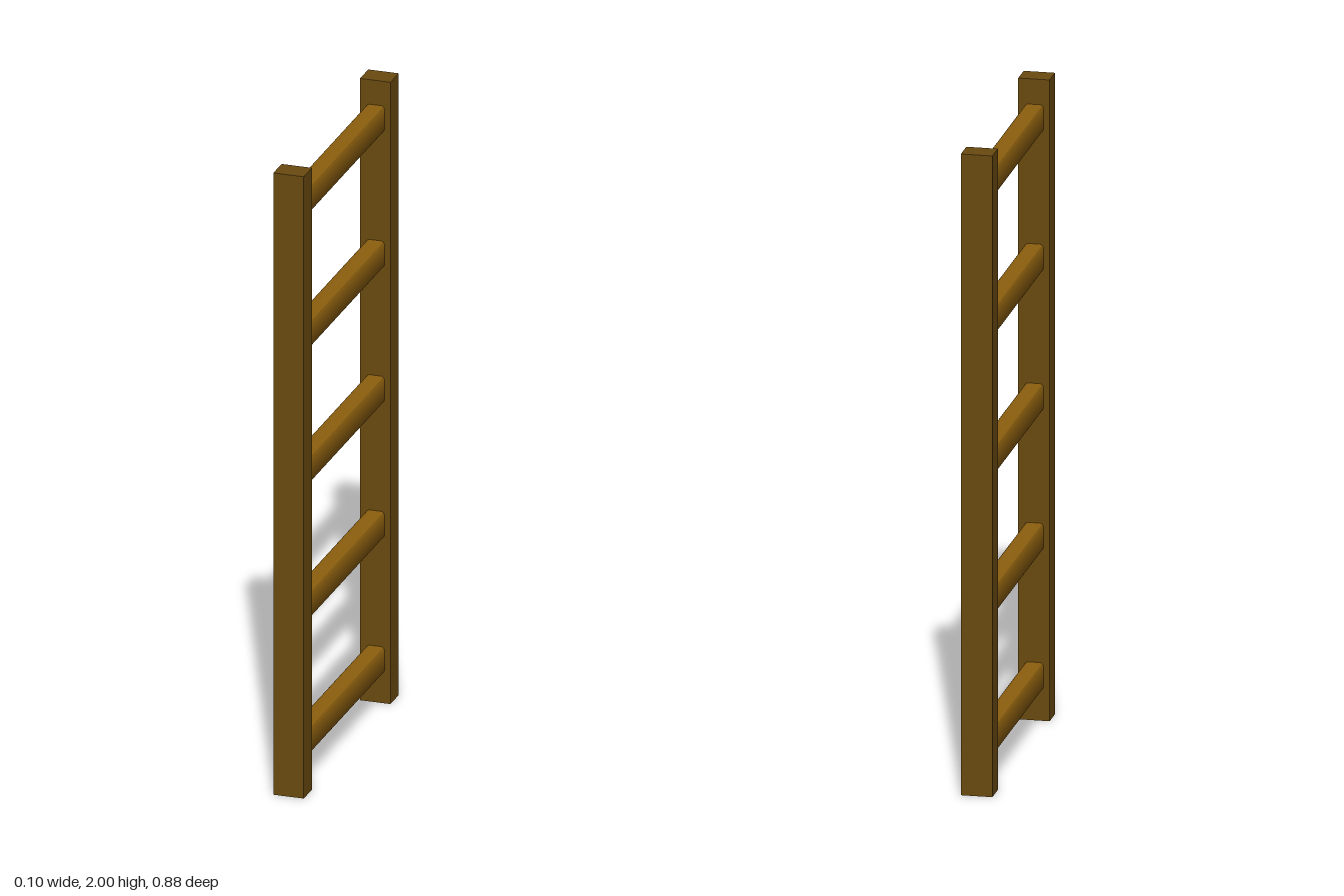
import * as THREE from 'three';
import { toCreasedNormals } from 'three/addons/utils/BufferGeometryUtils.js';

// Rectangle with rounded corners, centred on the origin
function roundedRect(w, h, r) {
  const s = new THREE.Shape();
  const x = w / 2 - r, y = h / 2 - r;
  s.absarc(x, y, r, 0, Math.PI / 2);
  s.absarc(-x, y, r, Math.PI / 2, Math.PI);
  s.absarc(-x, -y, r, Math.PI, Math.PI * 1.5);
  s.absarc(x, -y, r, Math.PI * 1.5, Math.PI * 2);
  s.closePath();
  return s;
}

export function createModel() {
  const ladder = new THREE.Group();
  ladder.name = 'ladder';
  const railWood = new THREE.MeshStandardMaterial({ color: 0x6a4a10 });
  const rungWood = new THREE.MeshStandardMaterial({ color: 0x8c5f0e });

  // Two square-edged upright rails
  const railGeometry = new THREE.BoxGeometry(0.096, 2, 0.076);
  for (const [name, side] of [['frontRail', 1], ['backRail', -1]]) {
    const rail = new THREE.Mesh(railGeometry, railWood);
    rail.name = name;
    rail.position.set(0, 1, side * 0.4);
    ladder.add(rail);
  }

  // Five evenly spaced rungs with softened edges, let slightly into the rails
  const length = 0.74;
  const extruded = new THREE.ExtrudeGeometry(roundedRect(0.058, 0.086, 0.012), {
    depth: length, bevelEnabled: false, curveSegments: 6,
  });
  extruded.translate(0, 0, -length / 2);
  const rungGeometry = toCreasedNormals(extruded, Math.PI / 5);
  for (let i = 0; i < 5; i++) {
    const rung = new THREE.Mesh(rungGeometry, rungWood);
    rung.name = `rung${i + 1}`;
    rung.position.y = 0.138 + i * 0.435;
    ladder.add(rung);
  }
  return ladder;
}
